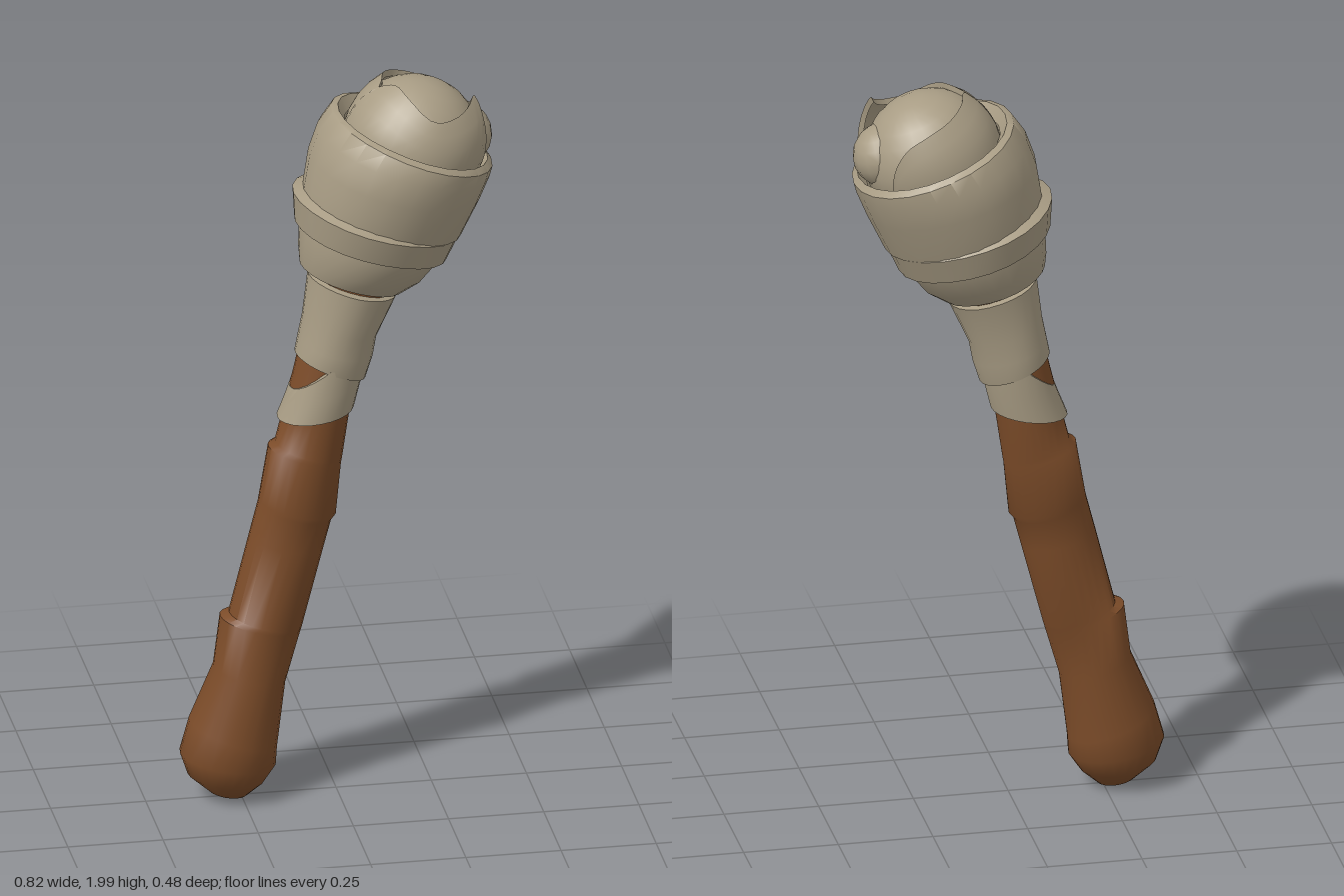
import * as THREE from 'three';
import { toCreasedNormals } from 'three/addons/utils/BufferGeometryUtils.js';

const wood = new THREE.MeshStandardMaterial({ color: 0x7c4c29 });
const cloth = new THREE.MeshStandardMaterial({ color: 0xa89c84, side: THREE.DoubleSide });
wood.name = 'wood';
cloth.name = 'cloth';

// Grid of points (rows going up, columns going round) turned into a surface
function gridGeometry(rows, closed) {
  const n = rows[0].length, index = [];
  for (let r = 0; r < rows.length - 1; r++) {
    for (let i = 0; i < (closed ? n : n - 1); i++) {
      const j = (i + 1) % n;
      const a = r * n + i, b = r * n + j, c = a + n, d = b + n;
      index.push(a, c, b, b, c, d);
    }
  }
  const g = new THREE.BufferGeometry();
  g.setAttribute('position', new THREE.Float32BufferAttribute(rows.flat(2), 3));
  g.setIndex(index);
  return toCreasedNormals(g, 0.85);
}

// Each ring: leftmost x, y, rightmost x, y, and half depth in z
function loft(name, material, rings, wobble = 0, segments = 24) {
  const rows = rings.map(([xl, yl, xr, yr, rz], k) =>
    Array.from({ length: segments }, (_, i) => {
      const a = (i / segments) * Math.PI * 2;
      const w = 1 + wobble * Math.sin(a * 3 + k * 0.8) * Math.sin(a) ** 2;
      const c = Math.cos(a) * w;
      return [(xl + xr) / 2 + (xr - xl) / 2 * c, (yl + yr) / 2 + (yr - yl) / 2 * c, rz * Math.sin(a) * w];
    }));
  const mesh = new THREE.Mesh(gridGeometry(rows, true), material);
  mesh.name = name;
  return mesh;
}

// Cloth flap lying on the dome. Edge points: angle round, angle from the tip, distance factor
function flap(name, edge, radius, height) {
  const rad = Math.PI / 180, steps = 28;
  const curve = new THREE.CatmullRomCurve3(edge.map(([a, p, s]) => new THREE.Vector3(a, p, s * 100)));
  const tops = curve.getPoints(steps);
  const at = (a, p, s) => [
    radius * s * Math.sin(p * rad) * Math.cos(a * rad),
    height * s * Math.cos(p * rad),
    radius * s * Math.sin(p * rad) * Math.sin(a * rad)];
  const rows = [];
  for (let k = 0; k <= 5; k++) {
    const t = k / 5;
    rows.push(tops.map(v => at(v.x, THREE.MathUtils.lerp(112, v.y, t), THREE.MathUtils.lerp(1.03, v.z / 100, t * t))));
  }
  // thickness folded back towards the dome
  rows.push(tops.map(v => at(v.x, v.y + 2, v.z / 100 - 0.09)));
  const mesh = new THREE.Mesh(gridGeometry(rows, false), cloth);
  mesh.name = name;
  return mesh;
}

export function createModel() {
  const model = new THREE.Group();
  model.name = 'wrappedTorch';

  // Wooden handle with rounded butt and carved ledges
  model.add(loft('handle', wood, [
    [-0.291, 0, -0.289, 0, 0.001],
    [-0.335, 0.02, -0.235, 0.005, 0.05],
    [-0.39, 0.07, -0.19, 0.045, 0.095],
    [-0.41, 0.13, -0.16, 0.09, 0.117],
    [-0.385, 0.22, -0.157, 0.14, 0.115],
    [-0.322, 0.37, -0.135, 0.32, 0.095],
    [-0.305, 0.51, -0.095, 0.46, 0.09],
    [-0.281, 0.518, -0.092, 0.47, 0.09],
    [-0.228, 0.73, -0.035, 0.69, 0.087],
    [-0.205, 0.82, -0.014, 0.77, 0.09],
    [-0.203, 0.83, -0.002, 0.785, 0.095],
    [-0.178, 0.98, 0.012, 0.93, 0.088],
    [-0.16, 0.99, 0.014, 0.94, 0.087],
    [-0.14, 1.07, 0.033, 1.07, 0.086],
    [-0.108, 1.2, 0.06, 1.18, 0.086],
    [-0.06, 1.44, 0.14, 1.39, 0.102],
    [-0.05, 1.56, 0.17, 1.46, 0.1],
  ]));

  // Grip wraps: lower band is cut low on the right to bare the wood
  model.add(loft('lowerGripWrap', cloth, [
    [-0.138, 1.07, 0.03, 1.095, 0.08],
    [-0.155, 1.06, 0.045, 1.085, 0.096],
    [-0.135, 1.11, 0.066, 1.17, 0.096],
    [-0.122, 1.145, 0.085, 1.31, 0.098],
    [-0.105, 1.15, 0.07, 1.315, 0.08],
  ]));
  model.add(loft('upperGripWrap', cloth, [
    [-0.085, 1.25, 0.06, 1.18, 0.08],
    [-0.108, 1.24, 0.075, 1.165, 0.098],
    [-0.1, 1.28, 0.094, 1.225, 0.104],
    [-0.088, 1.34, 0.104, 1.28, 0.1],
    [-0.073, 1.46, 0.157, 1.395, 0.12],
    [-0.055, 1.462, 0.135, 1.403, 0.1],
  ], 0.02));

  // Overlapping head wraps
  model.add(loft('lowerHeadWrap', cloth, [
    [-0.05, 1.505, 0.14, 1.425, 0.09],
    [-0.095, 1.49, 0.17, 1.405, 0.13],
    [-0.098, 1.53, 0.225, 1.44, 0.16],
    [-0.095, 1.59, 0.275, 1.5, 0.185],
    [-0.088, 1.66, 0.3, 1.55, 0.195],
  ], 0.015));
  model.add(loft('middleHeadWrap', cloth, [
    [-0.08, 1.62, 0.25, 1.49, 0.17],
    [-0.108, 1.61, 0.288, 1.495, 0.198],
    [-0.112, 1.69, 0.318, 1.56, 0.222],
    [-0.08, 1.7, 0.3, 1.59, 0.19],
  ], 0.02));
  model.add(loft('upperHeadWrap', cloth, [
    [-0.06, 1.67, 0.29, 1.57, 0.18],
    [-0.088, 1.68, 0.325, 1.56, 0.208],
    [-0.07, 1.79, 0.373, 1.66, 0.235],
    [-0.045, 1.86, 0.4, 1.725, 0.242],
    [-0.01, 1.91, 0.407, 1.75, 0.234],
    [0.008, 1.912, 0.395, 1.768, 0.215],
    [0.025, 1.88, 0.37, 1.74, 0.185],
  ], 0.012));

  // Tilted tip: rounded dome hugged by two torn flaps
  const tip = new THREE.Group();
  tip.name = 'tip';
  tip.position.set(0.2, 1.81, 0);
  tip.rotation.z = -0.38;
  const radius = 0.178, height = 0.178;
  const dome = new THREE.Mesh(new THREE.SphereGeometry(1, 24, 14), cloth);
  dome.name = 'dome';
  dome.scale.set(radius, height, radius);
  const bulge = new THREE.Mesh(new THREE.SphereGeometry(1, 16, 10), cloth);
  bulge.name = 'sideBulge';
  bulge.scale.set(0.09, 0.085, 0.09);
  bulge.position.set(0.105, 0.06, 0);
  tip.add(dome, bulge);
  tip.add(flap('frontFlap', [
    [18, 85, 1.05], [30, 50, 1.16], [38, 29, 1.25], [50, 34, 1.18], [72, 44, 1.1],
    [95, 51, 1.07], [130, 42, 1.07], [160, 39, 1.08], [174, 48, 1.07], [184, 75, 1.05],
  ], radius, height));
  tip.add(flap('backFlap', [
    [168, 55, 1.05], [185, 46, 1.08], [210, 46, 1.1], [240, 48, 1.11],
    [270, 50, 1.12], [290, 54, 1.12], [306, 66, 1.08], [318, 88, 1.04],
  ], radius, height));
  model.add(tip);

  return model;
}
